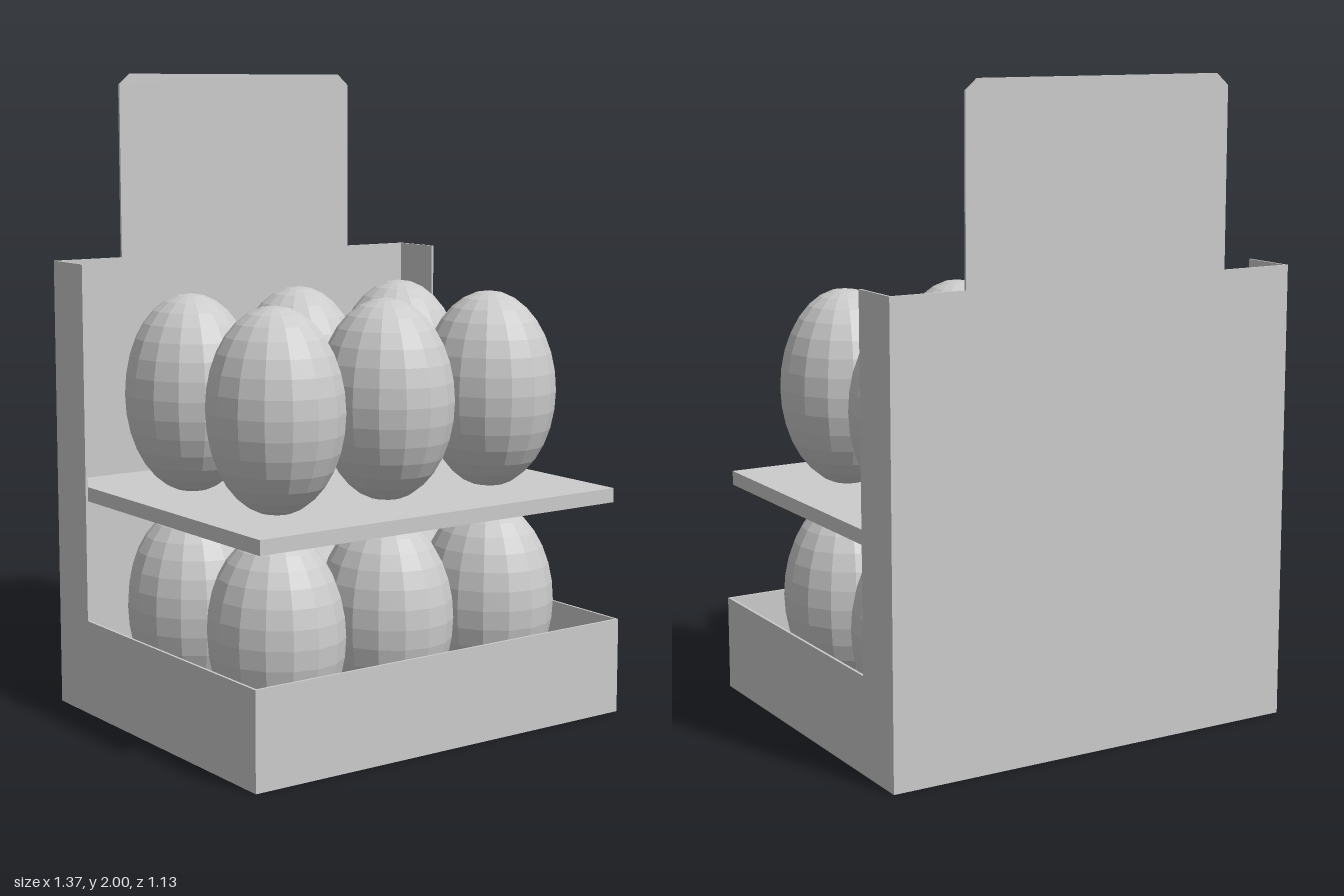
import * as THREE from 'three';

const W = 0.685, D = 0.565, T = 0.008; // half width, half depth, card thickness
const FRONT_H = 0.3, BACK_H = 1.42, WING_Z = -0.385;
const TIER = 0.667; // height between tiers

export function createModel() {
  const model = new THREE.Group();
  model.name = 'eggDisplayStand';
  const grey = new THREE.MeshStandardMaterial({ color: 0xcccccc, flatShading: true });

  const add = (name, geometry, x, y, z, parent = model) => {
    const mesh = new THREE.Mesh(geometry, grey);
    mesh.name = name;
    mesh.position.set(x, y, z);
    parent.add(mesh);
    return mesh;
  };
  const panel = (points) => new THREE.ExtrudeGeometry(
    new THREE.Shape(points.map(([x, y]) => new THREE.Vector2(x, y))),
    { depth: T, bevelEnabled: false });

  // Back card with a narrower header whose top corners are clipped
  const half = [[W, 0], [W, BACK_H], [0.445, BACK_H], [0.445, 1.965], [0.405, 2]];
  const mirrored = half.map(([x, y]) => [-x, y]).reverse();
  add('backPanel', panel([...half, ...mirrored]), 0, 0, -D);

  // L-shaped sides: low tray wall in front, tall wing at the back
  const side = panel([
    [-D + T, 0], [D - T, 0], [D - T, FRONT_H], [WING_Z, FRONT_H],
    [WING_Z, BACK_H], [-D + T, BACK_H],
  ]).rotateY(-Math.PI / 2);
  add('leftSide', side, W, 0, 0);
  add('rightSide', side, -W + T, 0, 0);

  // Front wall and floor of the tray
  add('frontWall', new THREE.BoxGeometry(2 * W, FRONT_H, T), 0, FRONT_H / 2, D - T / 2);
  add('floor', new THREE.BoxGeometry(2 * (W - T), T, 2 * (D - T)), 0, T / 2, 0);

  // Two tiers, each a shelf carrying two rows of three eggs
  const shelf = new THREE.BoxGeometry(1.324, 0.045, 1.114);
  const egg = new THREE.SphereGeometry(1, 16, 16).scale(0.202, 0.31, 0.223);
  for (let tier = 0; tier < 2; tier++) {
    const group = new THREE.Group();
    group.name = tier ? 'upperTier' : 'lowerTier';
    group.position.y = tier * TIER;
    model.add(group);
    add('shelf', shelf, 0, 0.031, 0, group);
    for (const z of [-0.211, 0.253])
      for (const x of [-0.404, 0, 0.404]) add('egg', egg, x, 0.353, z, group);
  }
  return model;
}
